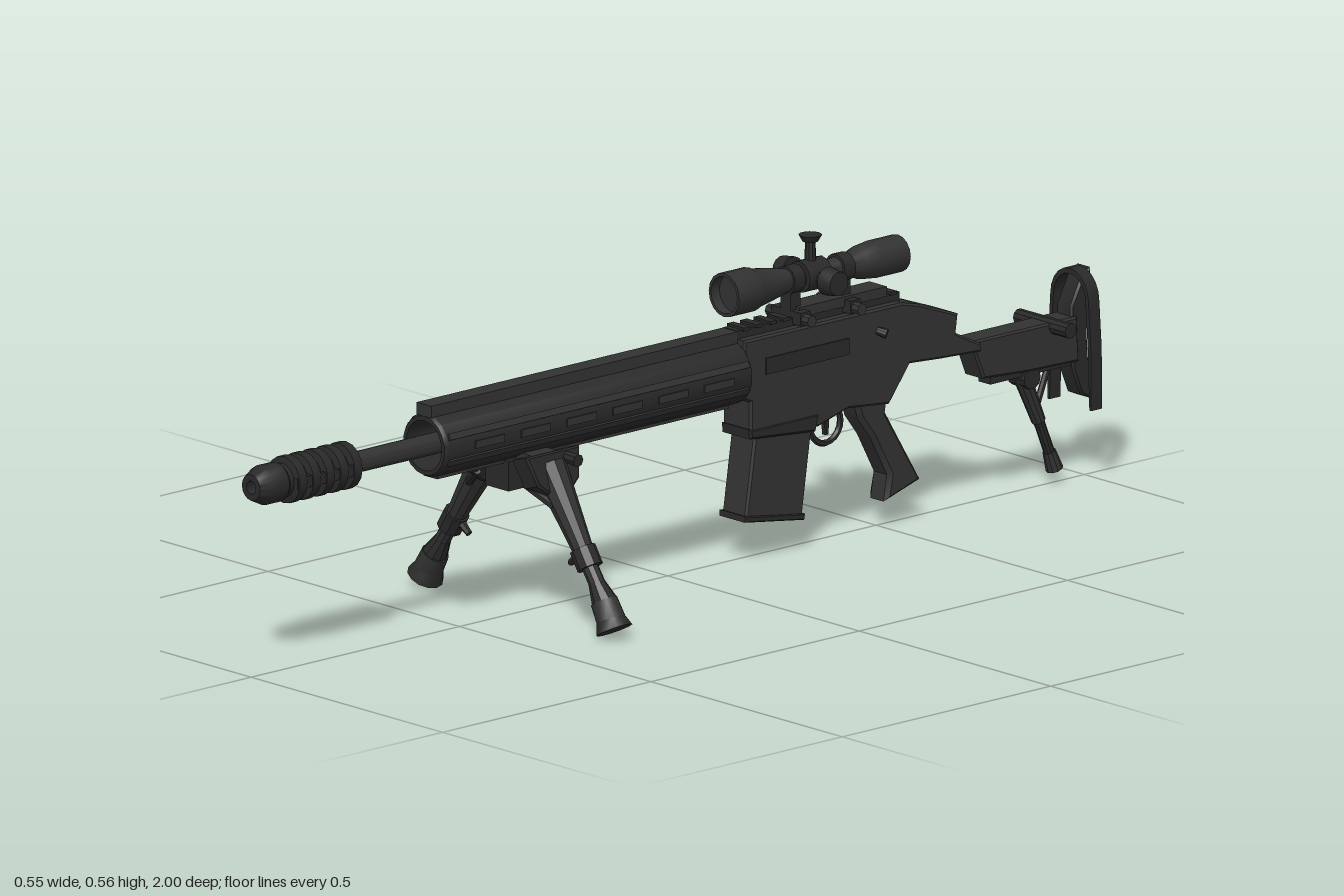
import * as THREE from 'three';
import { toCreasedNormals } from 'three/addons/utils/BufferGeometryUtils.js';

export function createModel() {
  const root = new THREE.Group();
  const charcoal = new THREE.MeshStandardMaterial({ color: 0x323232 });
  charcoal.name = 'charcoal';
  const black = new THREE.MeshStandardMaterial({ color: 0x292929 });
  black.name = 'black';

  function add(name, geo, mat = charcoal, x = 0, y = 0, z = 0, parent = root) {
    const mesh = new THREE.Mesh(toCreasedNormals(geo, 0.6), mat);
    mesh.name = name;
    mesh.position.set(x, y, z);
    parent.add(mesh);
    return mesh;
  }
  const box = (w, h, d) => new THREE.BoxGeometry(w, h, d);
  const shapeOf = pts => new THREE.Shape(pts.map(p => new THREE.Vector2(p[0], p[1])));
  // side outline of [z, y] points, extruded across x
  function side(pts, width, bevel = 0.004) {
    const g = new THREE.ExtrudeGeometry(shapeOf(pts), {
      depth: width - 2 * bevel, bevelThickness: bevel, bevelSize: bevel, bevelOffset: -bevel, bevelSegments: 1,
    });
    return g.translate(0, 0, -width / 2 + bevel).rotateY(-Math.PI / 2);
  }
  // turned profile of [radius, z] points, along z
  const turned = (pts, n = 16) =>
    new THREE.LatheGeometry(pts.map(p => new THREE.Vector2(p[0], p[1])), n).rotateX(Math.PI / 2);
  // tapered rod between two points
  function rod(a, b, ra, rb, n = 10) {
    const p = new THREE.Vector3(...a), q = new THREE.Vector3(...b), d = q.clone().sub(p);
    const g = new THREE.CylinderGeometry(rb, ra, d.length(), n);
    g.applyQuaternion(new THREE.Quaternion().setFromUnitVectors(new THREE.Vector3(0, 1, 0), d.normalize()));
    const m = p.add(q).multiplyScalar(0.5);
    return g.translate(m.x, m.y, m.z);
  }

  // barrel and ringed muzzle
  const axis = 0.353;
  add('barrel', turned([[0, -0.15], [0.021, -0.15], [0.019, 0.78], [0, 0.78]]), charcoal, 0, axis);
  const muzzle = [[0, 0.765], [0.032, 0.765]];
  for (let i = 0; i < 5; i++) {
    const z = 0.772 + i * 0.033;
    muzzle.push([0.043, z], [0.043, z + 0.018], [0.031, z + 0.021], [0.031, z + 0.03]);
  }
  muzzle.push([0.036, 0.94], [0.036, 0.975], [0.024, 1], [0.012, 1], [0.012, 0.96], [0, 0.96]);
  add('muzzleBrake', turned(muzzle), black, 0, axis);
  for (const s of [-1, 1]) add('muzzleRib', box(0.012, 0.02, 0.15), black, s * 0.034, axis, 0.85);

  // open handguard with lengthwise ribs and vents
  add('handguard', turned([[0, -0.15], [0.058, -0.15], [0.058, 0.578], [0.054, 0.585],
    [0.046, 0.585], [0.046, 0.5], [0, 0.5]], 18), black, 0, axis);
  add('topRail', box(0.038, 0.022, 0.735), charcoal, 0, 0.418, 0.2175);
  for (const s of [-1, 1]) {
    for (const a of [0.42, -0.42]) {
      const rib = add('handguardRib', box(0.008, 0.012, 0.72), charcoal,
        s * 0.057 * Math.cos(a), axis + 0.057 * Math.sin(a), 0.215);
      rib.rotation.z = s * a;
    }
    for (let i = 0; i < 6; i++)
      add('handguardVent', box(0.004, 0.014, 0.07), charcoal, s * 0.0575, axis, -0.07 + i * 0.11);
  }
  add('lowerRail', box(0.036, 0.014, 0.7), charcoal, 0, 0.299, 0.22);

  // receiver, back slope and stock neck
  add('receiver', side([[-0.15, 0.415], [-0.53, 0.415], [-0.57, 0.405], [-0.665, 0.37], [-0.66, 0.335],
    [-0.72, 0.305], [-0.72, 0.29], [-0.62, 0.295], [-0.55, 0.3], [-0.5, 0.235], [-0.4, 0.245],
    [-0.33, 0.225], [-0.165, 0.24], [-0.165, 0.3], [-0.15, 0.305]], 0.074));
  add('receiverRail', box(0.036, 0.02, 0.39), black, 0, 0.42, -0.345);
  for (let i = 0; i < 12; i++) add('railTooth', box(0.044, 0.006, 0.016), black, 0, 0.431, -0.17 - i * 0.032);
  add('ejectionPort', box(0.006, 0.04, 0.13), black, -0.037, 0.355, -0.28);
  add('sidePlate', box(0.006, 0.03, 0.2), black, 0.037, 0.36, -0.3);
  add('boltHandle', rod([0.035, 0.375, -0.47], [0.05, 0.37, -0.48], 0.007, 0.009), black);

  // magazine, trigger and grip
  add('magazine', side([[-0.18, 0.235], [-0.318, 0.222], [-0.295, 0.064], [-0.158, 0.085]], 0.064));
  add('magazineBase', side([[-0.155, 0.092], [-0.299, 0.071], [-0.297, 0.06], [-0.154, 0.081]], 0.07, 0.002), black);
  add('magazineWell', side([[-0.162, 0.25], [-0.33, 0.25], [-0.322, 0.218], [-0.164, 0.232]], 0.078), black);
  add('triggerGuard', new THREE.TorusGeometry(0.036, 0.006, 6, 20).rotateY(Math.PI / 2), black, 0, 0.215, -0.378);
  add('trigger', side([[-0.37, 0.245], [-0.385, 0.245], [-0.382, 0.195], [-0.374, 0.195]], 0.012, 0.002), black);
  add('grip', side([[-0.43, 0.245], [-0.51, 0.25], [-0.505, 0.215], [-0.588, 0.078], [-0.502, 0.052],
    [-0.51, 0.1], [-0.47, 0.175], [-0.44, 0.215]], 0.05, 0.008));

  // stock
  add('stock', side([[-0.705, 0.308], [-0.96, 0.308], [-0.965, 0.225], [-0.84, 0.228], [-0.735, 0.235]], 0.052));
  add('stockRail', box(0.03, 0.014, 0.2), black, 0, 0.225, -0.86);
  add('buttPlate', side([[-0.95, 0.325], [-0.978, 0.38], [-0.998, 0.39], [-0.99, 0.27], [-0.998, 0.15],
    [-0.975, 0.16], [-0.955, 0.21]], 0.04), black);
  add('stockKnobs', rod([-0.068, 0.3, -0.905], [0.068, 0.3, -0.905], 0.014, 0.014), black);

  // shoulder hoop
  const hoopOutline = [[-0.057, 0.14], [-0.052, 0.14], [-0.048, 0.25]], n = 10;
  for (let i = 0; i <= n; i++) {
    const a = Math.PI - i / n * Math.PI;
    hoopOutline.push([0.042 * Math.cos(a), 0.335 + 0.046 * Math.sin(a)]);
  }
  hoopOutline.push([0.048, 0.25], [0.052, 0.14], [0.057, 0.14], [0.056, 0.25]);
  for (let i = 0; i <= n; i++) {
    const a = i / n * Math.PI;
    hoopOutline.push([0.05 * Math.cos(a), 0.335 + 0.056 * Math.sin(a)]);
  }
  hoopOutline.push([-0.056, 0.25]);
  add('shoulderHoop', new THREE.ExtrudeGeometry(shapeOf(hoopOutline), { depth: 0.026, bevelEnabled: false }),
    black, 0, 0, -0.99);

  // rear support leg
  add('rearLegHinge', rod([-0.022, 0.213, -0.855], [0.022, 0.213, -0.855], 0.02, 0.02), black);
  add('rearLegUpper', rod([0, 0.213, -0.85], [0, 0.125, -0.89], 0.016, 0.013));
  add('rearLegLower', rod([0, 0.13, -0.888], [0, 0.04, -0.925], 0.01, 0.01), black);
  add('rearLegFoot', rod([0, 0.065, -0.915], [0, 0.03, -0.928], 0.012, 0.016));
  add('rearLegBrace', rod([0, 0.215, -0.91], [0, 0.145, -0.882], 0.006, 0.006, 6), black);

  // scope with mounts and turrets
  const scopeY = 0.495;
  add('scope', turned([[0, -0.54], [0.026, -0.54], [0.026, -0.552], [0.034, -0.552], [0.034, -0.49], [0.03, -0.455],
    [0.02, -0.43], [0.02, -0.29], [0.03, -0.24], [0.037, -0.2], [0.04, -0.195], [0.04, -0.135],
    [0.034, -0.135], [0.034, -0.155], [0, -0.155]]), charcoal, 0, scopeY);
  add('turretBlock', turned([[0, -0.37], [0.029, -0.37], [0.029, -0.315], [0, -0.315]], 12), black, 0, scopeY);
  add('topTurretStem', rod([0, 0.515, -0.342], [0, 0.56, -0.342], 0.011, 0.009), black);
  add('topTurretCap', rod([0, 0.556, -0.342], [0, 0.568, -0.342], 0.014, 0.021, 14), black);
  for (const s of [-1, 1]) {
    add('sideTurretStem', rod([s * 0.02, 0.492, -0.342], [s * 0.052, 0.492, -0.342], 0.012, 0.012), black);
    add('sideTurretCap', rod([s * 0.046, 0.492, -0.342], [s * 0.075, 0.492, -0.342], 0.026, 0.022, 14), black);
  }
  add('mountBase', box(0.046, 0.018, 0.21), charcoal, 0, 0.438, -0.4);
  for (const z of [-0.295, -0.415]) {
    add('mountRing', turned([[0, -0.013], [0.026, -0.013], [0.026, 0.013], [0, 0.013]]), black, 0, scopeY, z);
    add('mountPost', box(0.026, 0.05, 0.024), black, 0, 0.456, z);
    add('mountClamp', box(0.078, 0.024, 0.024), black, 0, 0.43, z);
    add('mountScrew', rod([-0.056, 0.428, z], [0.056, 0.428, z], 0.011, 0.011, 8), charcoal);
  }

  // bipod
  const bz = 0.355;
  add('bipodMount', box(0.06, 0.055, 0.11), black, 0, 0.27, bz);
  add('bipodCrossbar', box(0.17, 0.035, 0.06), charcoal, 0, 0.292, bz);
  add('bipodLever', rod([0.08, 0.303, bz - 0.03], [0.12, 0.301, bz - 0.03], 0.01, 0.012, 8), black);
  for (const s of [-1, 1]) {
    const leg = new THREE.Group();
    leg.name = s > 0 ? 'leftLeg' : 'rightLeg';
    root.add(leg);
    const part = (name, a, b, ra, rb, mat, k) =>
      add(name, rod([s * a[0], a[1], bz], [s * b[0], b[1], bz], ra, rb, k), mat, 0, 0, 0, leg);
    const hip = add('hip', side([[-0.065, 0.035], [0.065, 0.035], [0.05, -0.02], [0.025, -0.04],
      [-0.025, -0.04], [-0.05, -0.02]], 0.042), black, s * 0.078, 0.278, bz, leg);
    hip.rotation.z = s * 0.3;
    part('upperLeg', [0.075, 0.29], [0.172, 0.142], 0.032, 0.018, charcoal);
    part('legCollar', [0.164, 0.155], [0.184, 0.124], 0.024, 0.024, black);
    part('lowerLeg', [0.178, 0.133], [0.228, 0.06], 0.015, 0.015, charcoal);
    part('ankle', [0.2, 0.1], [0.222, 0.068], 0.015, 0.024, black);
    part('foot', [0.22, 0.07], [0.24, 0.036], 0.025, 0.027, charcoal, 12);
    part('footSole', [0.236, 0.042], [0.247, 0.022], 0.026, 0.034, black, 12);
    part('legCatch', [0.158, 0.142], [0.132, 0.122], 0.009, 0.006, black, 6);
    add('legSpring', rod([s * 0.062, 0.26, bz + 0.045], [s * 0.11, 0.225, bz + 0.02], 0.007, 0.007, 6),
      black, 0, 0, 0, leg);
  }
  return root;
}
